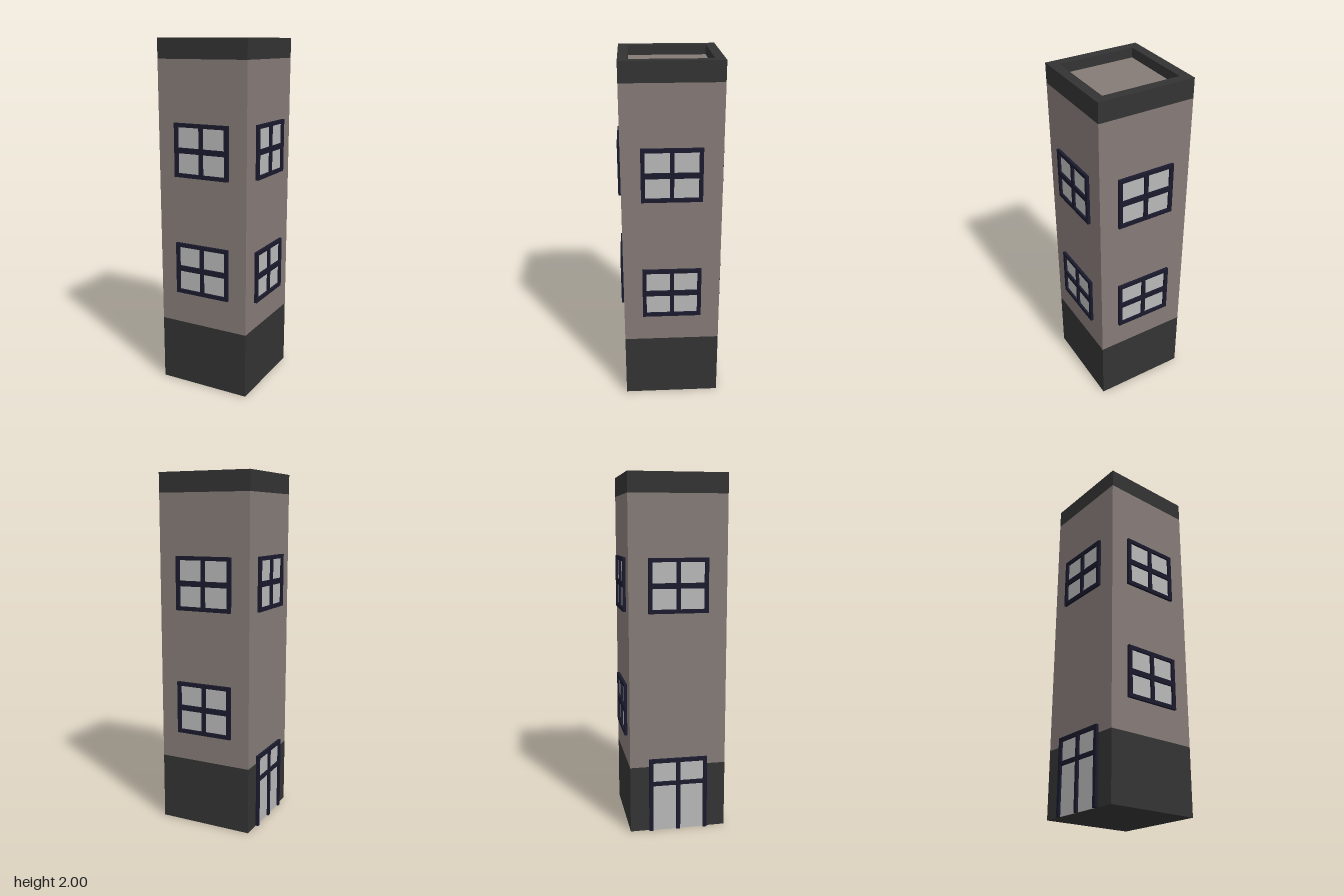
import * as THREE from 'three';

const HALF = 0.274;      // half width of the tower
const PROUD = 0.016;     // how far the frames stand out from the wall
const FRAME_W = 0.334;

const paint = (color) => new THREE.MeshStandardMaterial({ color });
const dark = paint(0x333333);
const plaster = paint(0x857b77);
const frameMat = paint(0x1a1a2e);
const glassMat = paint(0xb8b8b8);

function named(name, geometry, material) {
  const mesh = new THREE.Mesh(geometry, material);
  mesh.name = name;
  return mesh;
}

function block(name, w, h, d, x, y, z, material) {
  const mesh = named(name, new THREE.BoxGeometry(w, h, d), material);
  mesh.position.set(x, y, z);
  return mesh;
}

function rect(path, x0, y0, x1, y1) {
  path.moveTo(x0, y0);
  path.lineTo(x1, y0);
  path.lineTo(x1, y1);
  path.lineTo(x0, y1);
  path.closePath();
  return path;
}

// Four-pane window, standing on the local plane z = 0
function windowUnit(name, y) {
  const g = new THREE.Group();
  g.name = name;
  const w = FRAME_W / 2, h = 0.15, bar = 0.022, mx = 0.011, my = 0.015;
  const shape = rect(new THREE.Shape(), -w, -h, w, h);
  for (const sx of [-1, 1]) for (const sy of [-1, 1]) {
    shape.holes.push(rect(new THREE.Path(), sx * mx, sy * my, sx * (w - bar), sy * (h - bar)));
  }
  const frame = new THREE.ExtrudeGeometry(shape, { depth: PROUD, bevelEnabled: false });
  g.add(named('windowFrame', frame, frameMat));
  g.add(block('windowGlass', FRAME_W - bar, 2 * h - bar, 0.004, 0, 0, 0.002, glassMat));
  g.position.set(0, y, HALF);
  return g;
}

// Double door with a transom rail, open at the bottom edge
function doorUnit() {
  const g = new THREE.Group();
  g.name = 'door';
  const height = 0.425, bar = 0.022, z = PROUD / 2;
  for (const x of [-1, 0, 1]) {
    g.add(block('doorPost', bar, height, PROUD, x * (FRAME_W - bar) / 2, height / 2, z, frameMat));
  }
  const clear = (FRAME_W - 3 * bar) / 2;
  for (const x of [-1, 1]) {
    for (const y of [0.28, height - bar / 2]) {
      g.add(block('doorRail', clear, bar, PROUD, x * (clear + bar) / 2, y, z, frameMat));
    }
  }
  g.add(block('doorGlass', FRAME_W - bar, height - bar / 2, 0.004, 0, (height - bar / 2) / 2, 0.002, glassMat));
  g.position.z = HALF;
  return g;
}

export function createModel() {
  const model = new THREE.Group();
  model.name = 'tower';
  const size = HALF * 2, baseTop = 0.38, wallTop = 1.89, inner = 0.22;

  // Base plinth, shaft and sunken roof deck
  model.add(block('base', size, baseTop, size, 0, baseTop / 2, 0, dark));
  model.add(block('wall', size, wallTop - baseTop, size, 0, (wallTop + baseTop) / 2, 0, plaster));
  model.add(block('roofDeck', inner * 2, 0.055, inner * 2, 0, wallTop + 0.0275, 0, plaster));

  // Parapet ring around the roof
  const ring = rect(new THREE.Shape(), -HALF, -HALF, HALF, HALF);
  ring.holes.push(rect(new THREE.Path(), -inner, -inner, inner, inner));
  const parapet = new THREE.ExtrudeGeometry(ring, { depth: 2 - wallTop, bevelEnabled: false });
  parapet.rotateX(-Math.PI / 2);
  parapet.translate(0, wallTop, 0);
  model.add(named('parapet', parapet, dark));

  // Fittings of each side, turned about the y axis
  const sides = [
    { name: 'frontSide', turn: 0, lower: 0.717 },
    { name: 'leftSide', turn: 1, lower: 0.69 },
    { name: 'backSide', turn: 2, lower: 0.69 },
    { name: 'rightSide', turn: 3, lower: null },
  ];
  for (const { name, turn, lower } of sides) {
    const side = new THREE.Group();
    side.name = name;
    side.add(windowUnit('upperWindow', 1.4));
    side.add(lower === null ? doorUnit() : windowUnit('lowerWindow', lower));
    side.rotation.y = turn * Math.PI / 2;
    model.add(side);
  }
  return model;
}
